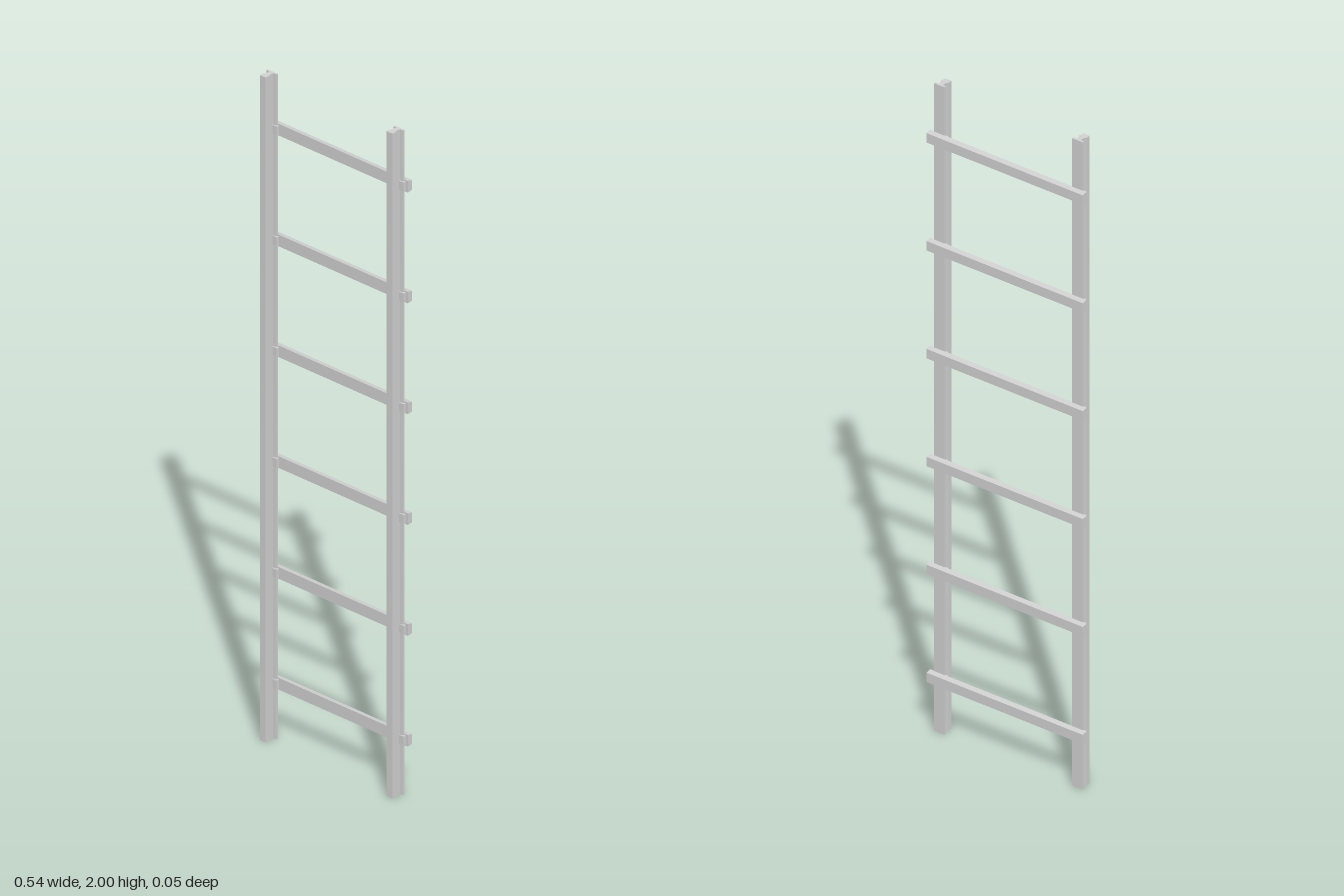
import * as THREE from 'three';

// Mirrors a half outline [x, z] about x = 0 and returns a closed shape
function mirroredShape(half) {
  const other = half.map(([x, z]) => [-x, z]).reverse();
  return new THREE.Shape([...half, ...other].map(([x, z]) => new THREE.Vector2(x, -z)));
}

export function createModel() {
  const group = new THREE.Group();
  const steel = new THREE.MeshStandardMaterial({ color: 0xd0d0d0 });
  steel.name = 'light grey';

  const railX = 0.237, count = 6, length = 2;

  // Rail section: wide foot at the back, thin web, square head at the front
  const railGeometry = new THREE.ExtrudeGeometry(mirroredShape([
    [0.018, -0.012], [0.018, -0.006], [0.007, -0.005],
    [0.007, 0.011], [0.011, 0.012], [0.011, 0.0275],
  ]), { depth: length, bevelEnabled: false });
  railGeometry.rotateX(-Math.PI / 2);

  // Sleeper section tapering slightly towards the back, laid along x
  const sleeperLength = 0.537;
  const sleeperGeometry = new THREE.ExtrudeGeometry(mirroredShape([
    [0.0175, -0.011], [0.0145, -0.0275],
  ]), { depth: sleeperLength, bevelEnabled: false });
  sleeperGeometry.translate(0, 0, -sleeperLength / 2);
  sleeperGeometry.rotateX(-Math.PI / 2).rotateZ(Math.PI / 2);

  // Fastening plate wrapping the rail foot at every sleeper
  const plateGeometry = new THREE.BoxGeometry(0.047, 0.026, 0.019);

  for (const side of [-1, 1]) {
    const rail = new THREE.Mesh(railGeometry, steel);
    rail.name = side > 0 ? 'leftRail' : 'rightRail';
    rail.position.x = side * railX;
    group.add(rail);
  }

  for (let i = 0; i < count; i++) {
    const y = (i + 0.5) * length / count;
    const sleeper = new THREE.Mesh(sleeperGeometry, steel);
    sleeper.name = 'sleeper';
    sleeper.position.y = y;
    group.add(sleeper);
    for (const side of [-1, 1]) {
      const plate = new THREE.Mesh(plateGeometry, steel);
      plate.name = 'fasteningPlate';
      plate.position.set(side * railX, y, -0.0115);
      group.add(plate);
    }
  }
  return group;
}
